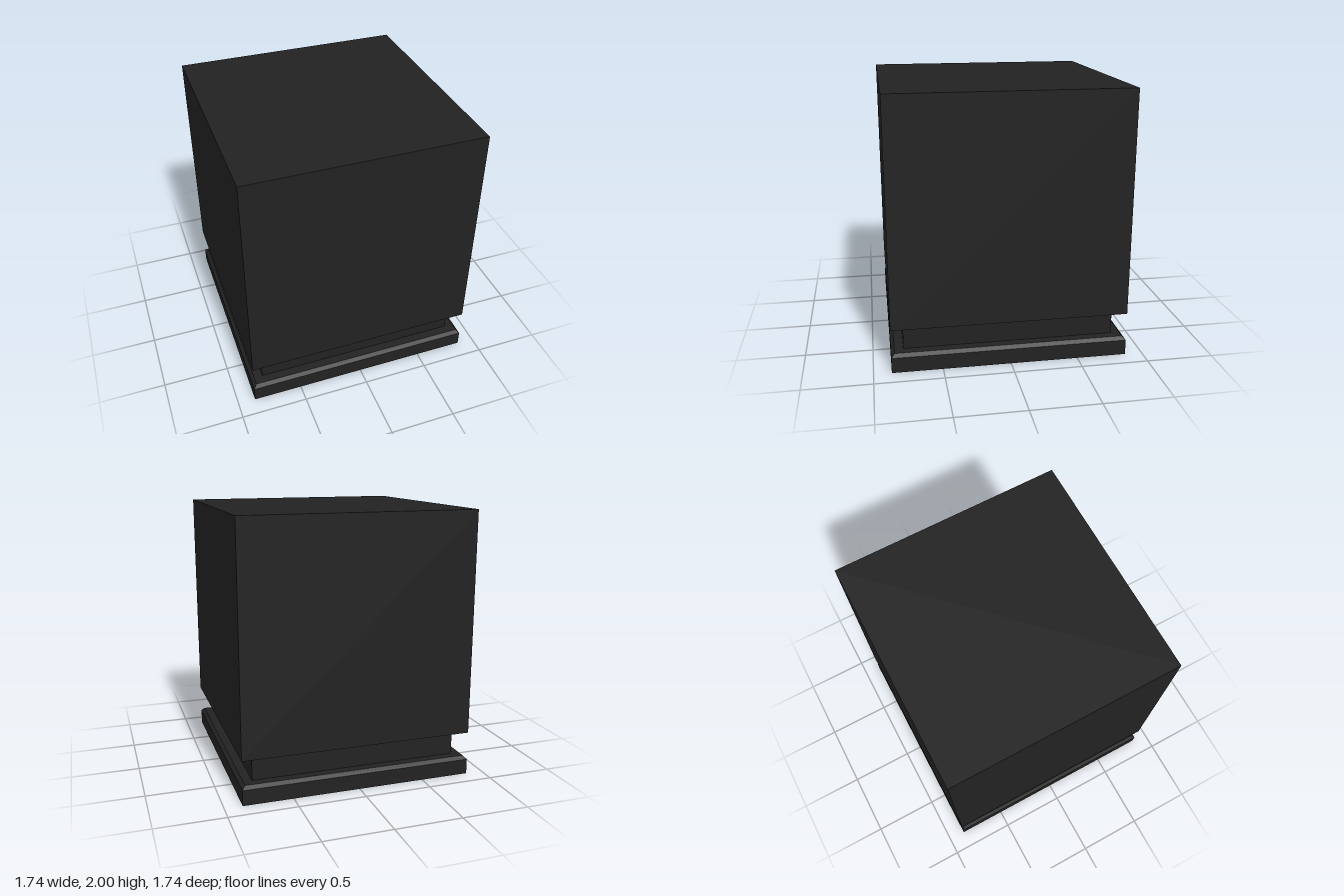
import * as THREE from 'three';

const HALF = 0.87;   // half width of body and base
const NECK = 0.78;   // half width of neck and of the base opening

export function createModel() {
  const group = new THREE.Group();
  const charcoal = new THREE.MeshStandardMaterial({ color: 0x222222 });
  charcoal.name = 'charcoal';

  const add = (name, geometry) => {
    const mesh = new THREE.Mesh(geometry, charcoal);
    mesh.name = name;
    group.add(mesh);
  };

  // Square block spanning y0..y1
  const block = (half, y0, y1) =>
    new THREE.BoxGeometry(half * 2, y1 - y0, half * 2).translate(0, (y0 + y1) / 2, 0);

  // Square frame swept from a closed [half width, y] profile
  const squareRing = (profile) => {
    const points = profile.map(([half, y]) => new THREE.Vector2(half * Math.SQRT2, y));
    const geometry = new THREE.LatheGeometry(points, 4, Math.PI / 4).toNonIndexed();
    geometry.computeVertexNormals();
    return geometry;
  };

  // Main cube and the recessed neck under it
  add('body', block(HALF, 0.33, 2));
  add('neck', block(NECK, 0.14, 0.33));

  // Base frame with chamfered top edge, open underneath
  add('baseFrame', squareRing([
    [NECK, 0], [HALF, 0], [HALF, 0.115], [0.845, 0.14], [NECK, 0.14], [NECK, 0],
  ]));

  return group;
}
